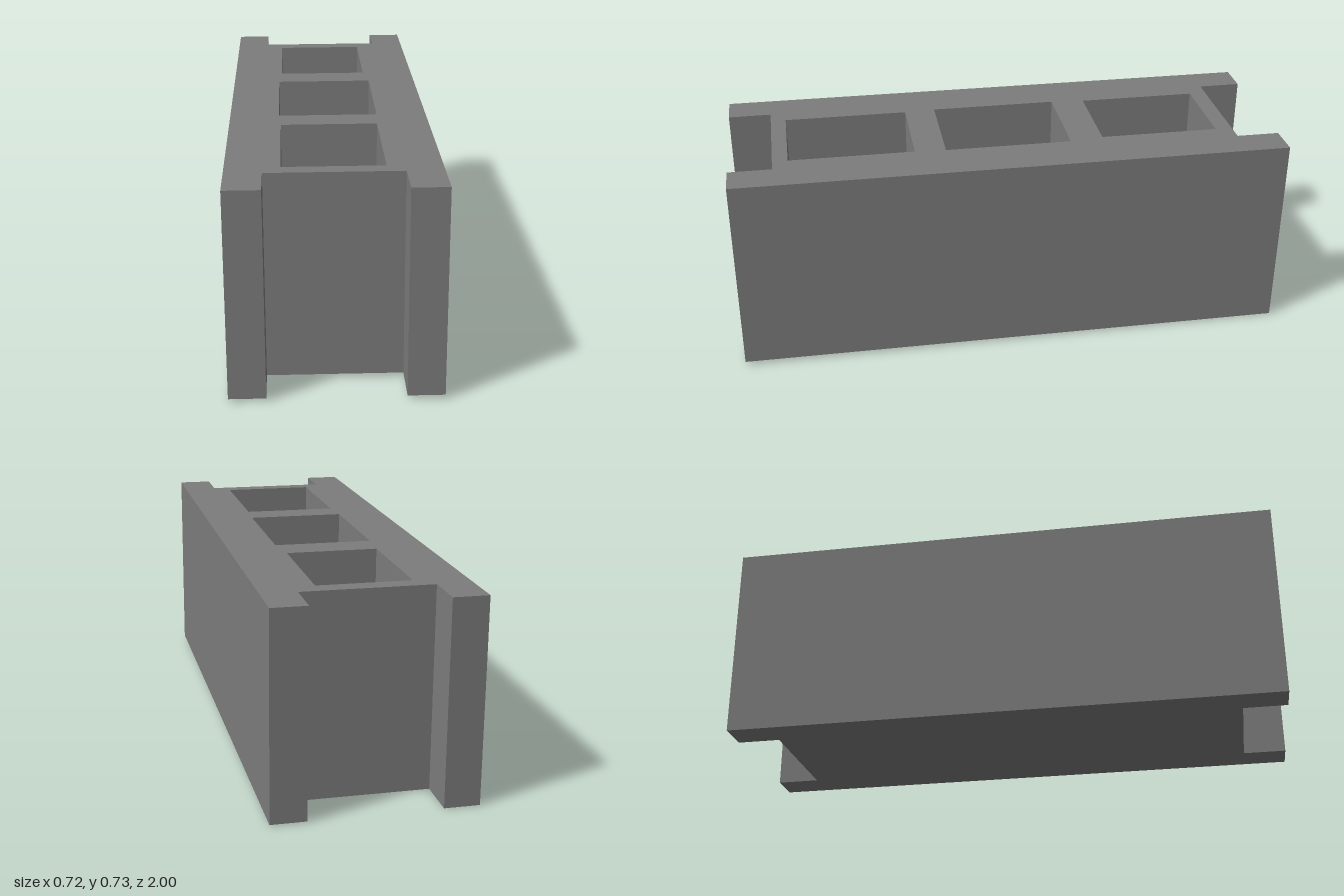
import * as THREE from 'three';

const W = 0.35;        // half width
const L = 0.9955;      // half length
const H = 0.712;       // height
const SLOT = 0.227;    // half width of the end slots
const WEB = 0.841;     // half length between the end slots
const FLOOR = 0.01;    // thickness of the closed bottom

// Pockets seen from above: [x min, x max, z min, z max]
const POCKETS = [
  [-0.166, 0.158, -0.779, -0.35],
  [-0.176, 0.174, -0.229, 0.227],
  [-0.169, 0.168, 0.338, 0.786],
];

const polygon = (Type, points) => new Type(points.map(([x, z]) => new THREE.Vector2(x, -z)));

// H-shaped plan of the block
function outline() {
  return polygon(THREE.Shape, [
    [-W, L], [-SLOT, L], [-SLOT, WEB], [SLOT, WEB], [SLOT, L], [W, L],
    [W, -L], [SLOT, -L], [SLOT, -WEB], [-SLOT, -WEB], [-SLOT, -L], [-W, -L],
  ]);
}

// Upright extrusion of a plan from one height to another
function slab(name, shape, y0, y1, material) {
  const geometry = new THREE.ExtrudeGeometry(shape, { depth: y1 - y0, bevelEnabled: false });
  geometry.rotateX(-Math.PI / 2).translate(0, y0 - H / 2, 0);
  const mesh = new THREE.Mesh(geometry, material);
  mesh.name = name;
  return mesh;
}

export function createModel() {
  const concrete = new THREE.MeshStandardMaterial({ color: 0x7c7c7c });
  concrete.name = 'concrete grey';

  // Walls and webs with three open pockets
  const plan = outline();
  for (const [x0, x1, z0, z1] of POCKETS) {
    plan.holes.push(polygon(THREE.Path, [[x0, z0], [x0, z1], [x1, z1], [x1, z0]]));
  }

  const block = new THREE.Group();
  block.name = 'block';
  block.add(slab('blockWalls', plan, FLOOR, H, concrete));
  block.add(slab('blockFloor', outline(), 0, FLOOR, concrete));

  // The block rests very slightly askew
  block.rotation.set(-0.005, 0.0075, 0.006);
  block.position.y = 0.3635;

  const model = new THREE.Group();
  model.name = 'hollowBlock';
  model.add(block);
  return model;
}
